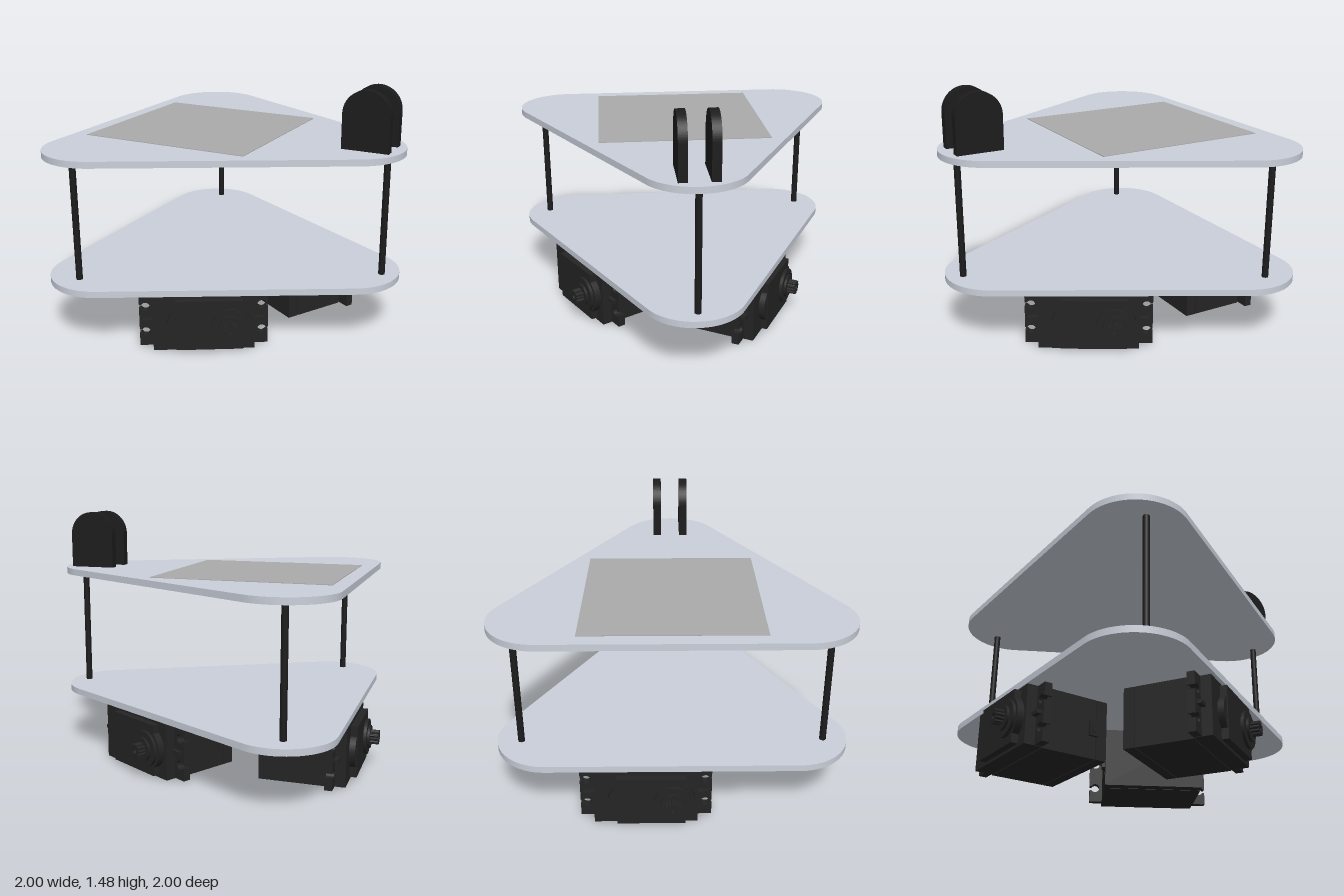
import * as THREE from 'three';

const mat = (color) => new THREE.MeshStandardMaterial({ color });
const plateMat = mat(0xc9cfda), patchMat = mat(0xaaaaaa);
const blackMat = mat(0x1c1c1c), servoMat = mat(0x242424);

function add(parent, name, geometry, material, x = 0, y = 0, z = 0) {
  const mesh = new THREE.Mesh(geometry, material);
  mesh.name = name;
  mesh.position.set(x, y, z);
  parent.add(mesh);
  return mesh;
}

const extrude = (shape, depth) =>
  new THREE.ExtrudeGeometry(shape, { depth, bevelEnabled: false, curveSegments: 24 });

// Rounded triangle, drawn in (x, -z) and laid flat
function plateGeometry(thickness) {
  const r = 0.3, a = Math.atan2(1.28, 0.7);
  const s = new THREE.Shape();
  s.absarc(0.7, 0, r, -a, a, false);
  s.absarc(-0.58, 0.7, r, a, Math.PI, false);
  s.absarc(-0.58, -0.7, r, Math.PI, 2 * Math.PI - a, false);
  s.closePath();
  return extrude(s, thickness).rotateX(-Math.PI / 2);
}

// Mounting ear with two open keyhole slots on its outer edge
function earGeometry() {
  const w = 0.08, h = 0.165, r = 0.026, cx = w - 0.036, a = 0.5;
  const s = new THREE.Shape();
  s.moveTo(-0.02, -h);
  s.lineTo(w, -h);
  for (const y of [-0.078, 0.078]) {
    s.lineTo(w, y - r * Math.sin(a));
    s.absarc(cx, y, r, -a, a, true);
    s.lineTo(w, y + r * Math.sin(a));
  }
  s.lineTo(w, h);
  s.lineTo(-0.02, h);
  s.closePath();
  return extrude(s, 0.045);
}

// Servo: output shaft along +z with its tip at the origin, long side along -x
function makeServo() {
  const g = new THREE.Group();
  g.name = 'servo';
  const box = (name, x0, x1, h, z0, z1) =>
    add(g, name, new THREE.BoxGeometry(x1 - x0, h, z1 - z0), servoMat, (x0 + x1) / 2, 0, (z0 + z1) / 2);
  const disc = (name, r, z0, z1, x = 0, n = 32) =>
    add(g, name, new THREE.CylinderGeometry(r, r, z1 - z0, n).rotateX(Math.PI / 2), servoMat, x, 0, (z0 + z1) / 2);

  // Case in three sections with shallow seams
  box('upperCase', -0.44, 0.14, 0.335, -0.225, -0.12);
  box('middleCase', -0.44, 0.14, 0.345, -0.55, -0.225);
  box('caseSeam', -0.434, 0.134, 0.335, -0.556, -0.55);
  box('bottomLid', -0.44, 0.14, 0.345, -0.62, -0.556);

  // Raised gear cover
  box('gearCover', -0.31, 0.07, 0.3, -0.12, -0.08);
  disc('gearCoverFront', 0.122, -0.12, -0.08);
  disc('gearCoverRear', 0.105, -0.12, -0.085, -0.255);
  disc('shaftCollar', 0.105, -0.08, -0.062);
  disc('shaftBoss', 0.068, -0.062, -0.048);
  disc('shaftRoot', 0.03, -0.05, -0.03);

  // Splined output shaft with a screw hole
  const spline = new THREE.Shape();
  for (let i = 0; i < 48; i++) {
    const a = (i / 48) * Math.PI * 2, r = i % 4 < 2 ? 0.043 : 0.036;
    spline[i ? 'lineTo' : 'moveTo'](r * Math.cos(a), r * Math.sin(a));
  }
  spline.closePath();
  spline.holes.push(new THREE.Path().absarc(0, 0, 0.016, 0, Math.PI * 2, true));
  add(g, 'outputShaft', extrude(spline, 0.05), servoMat, 0, 0, -0.05);

  // Ears and their stiffening ribs at both ends
  for (const [x, side] of [[0.14, 1], [-0.44, -1]]) {
    const ear = add(g, 'mountingEar', earGeometry(), servoMat, x, 0, -0.225);
    if (side < 0) ear.rotation.z = Math.PI;
    add(g, 'earRib', new THREE.BoxGeometry(0.06, 0.02, 0.03), servoMat, x + side * 0.03, 0, -0.168);
  }

  // Cable outlet
  box('cableOutlet', 0.13, 0.158, 0.09, -0.56, -0.505);
  box('cablePlug', 0.15, 0.165, 0.05, -0.545, -0.52);
  return g;
}

export function createModel() {
  const model = new THREE.Group();
  model.name = 'robotBase';

  // Decks and the flat pad on the upper one
  add(model, 'lowerDeck', plateGeometry(0.038), plateMat, 0, 0.348, 0);
  add(model, 'upperDeck', plateGeometry(0.038), plateMat, 0, 1.102, 0);
  add(model, 'deckPad', new THREE.BoxGeometry(1.04, 0.003, 1), patchMat, -0.27, 1.1415, 0);

  // Posts between the decks
  for (const [x, z] of [[-0.625, 0.86], [-0.625, -0.86], [0.905, 0]]) {
    add(model, 'post', new THREE.CylinderGeometry(0.019, 0.019, 0.72, 20), blackMat, x, 0.744, z);
  }

  // Pair of round-topped brackets at the nose
  const bracket = new THREE.Shape();
  bracket.moveTo(-0.138, 0);
  bracket.lineTo(0.138, 0);
  bracket.absarc(0, 0.202, 0.138, 0, Math.PI, false);
  bracket.closePath();
  for (const z of [-0.085, 0.085]) {
    add(model, 'noseBracket', extrude(bracket, 0.05), blackMat, 0.802, 1.14, z - 0.025);
  }

  // One servo facing out of each side
  for (const [x, z, deg] of [[-1, 0, -90], [0.28, -0.685, 150], [0.27, 0.685, 30]]) {
    const servo = makeServo();
    servo.position.set(x, 0.175, z);
    servo.rotation.y = THREE.MathUtils.degToRad(deg);
    model.add(servo);
  }
  return model;
}
